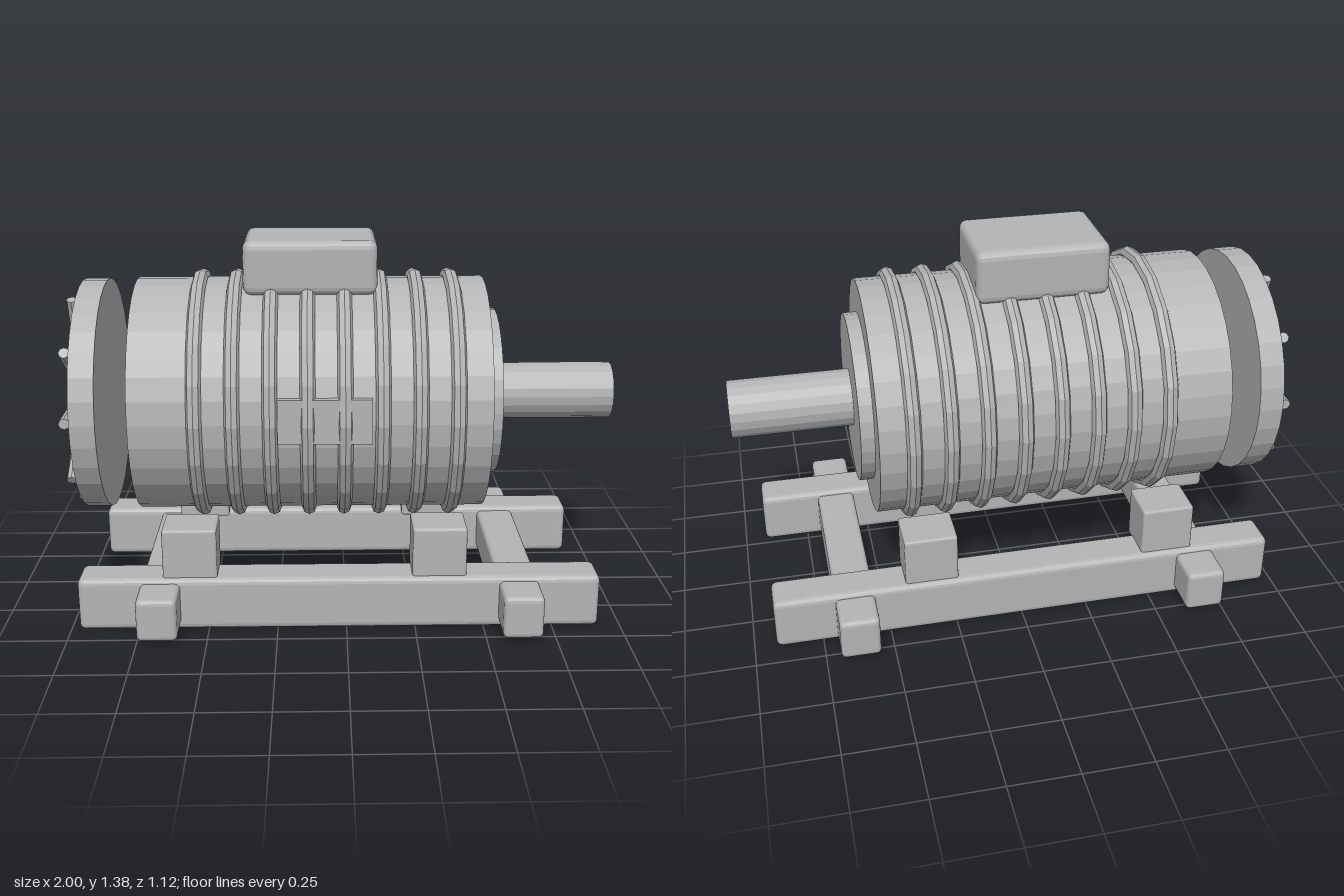
import * as THREE from 'three';
import { RoundedBoxGeometry } from 'three/addons/geometries/RoundedBoxGeometry.js';

const AXIS_Y = 0.78;

export function createModel() {
  const model = new THREE.Group();
  model.name = 'electricMotor';
  const steel = new THREE.MeshStandardMaterial({ color: 0xb4b4b4, flatShading: true });
  steel.name = 'grey steel';

  function add(name, geometry, x = 0, y = 0, z = 0) {
    const mesh = new THREE.Mesh(geometry, steel);
    mesh.name = name;
    mesh.position.set(x, y, z);
    model.add(mesh);
    return mesh;
  }

  // Bevelled block given by its extents
  function block(name, x0, x1, y0, y1, z0, z1, bevel = 0.02) {
    const g = new RoundedBoxGeometry(x1 - x0, y1 - y0, z1 - z0, 2, bevel);
    return add(name, g, (x0 + x1) / 2, (y0 + y1) / 2, (z0 + z1) / 2);
  }

  // Cylinder lying along the motor axis
  function drum(name, x0, x1, radius, sides) {
    const g = new THREE.CylinderGeometry(radius, radius, x1 - x0, sides).rotateZ(-Math.PI / 2);
    return add(name, g, (x0 + x1) / 2, AXIS_Y);
  }

  // Housing, end parts and shaft
  drum('housing', -0.76, 0.51, 0.432, 32);
  drum('fanCover', -0.96, -0.87, 0.427, 32);
  drum('frontFlange', 0.51, 0.56, 0.31, 32);
  drum('shaft', 0.55, 1.0, 0.106, 20);

  // Cooling ribs around the housing
  for (let i = 0; i < 8; i++) {
    const g = new THREE.TorusGeometry(0.438, 0.027, 8, 20).rotateY(Math.PI / 2);
    add('coolingRib', g, -0.528 + i * 0.131, AXIS_Y);
  }

  // Fan grille: ten spokes made from five crossing bars
  for (let i = 0; i < 5; i++) {
    const bar = add('grilleBar', new THREE.CylinderGeometry(0.02, 0.02, 0.8, 8), -0.98, AXIS_Y);
    bar.rotation.x = Math.PI / 2 + (i * Math.PI) / 5;
  }

  // Terminal box on top and rating plate on the front
  block('terminalBox', -0.365, 0.115, 1.18, 1.375, -0.18, 0.175, 0.03);
  add('ratingPlate', new THREE.BoxGeometry(0.33, 0.16, 0.03), -0.075, 0.795, 0.43);

  // Skid frame: rails and feet on both sides, cross beams beneath
  for (const s of [-1, 1]) {
    block('skidRail', -0.97, 0.92, 0, 0.197, s * 0.345 - 0.075, s * 0.345 + 0.075, 0.022);
    for (const x of [-0.565, 0.337]) {
      block('mountingFoot', x - 0.098, x + 0.098, 0.18, 0.378, s * 0.315 - 0.085, s * 0.315 + 0.085, 0.01);
    }
  }
  for (const x of [-0.673, 0.625]) {
    block('crossBeam', x - 0.072, x + 0.072, 0.023, 0.18, -0.562, 0.562, 0.018);
  }

  return model;
}
